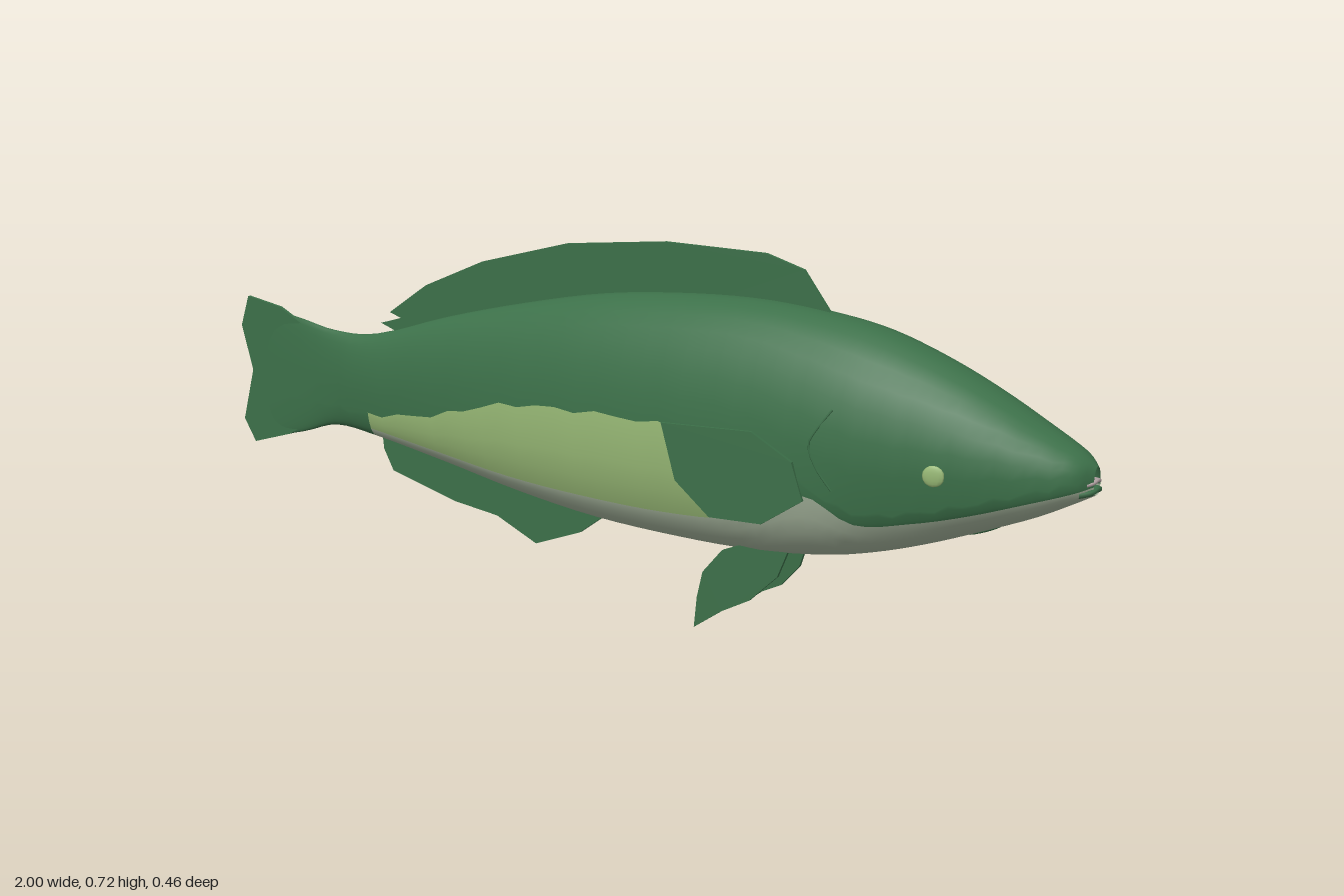
import * as THREE from 'three';

// x, top, bottom, half width, belly line, flank line (tail to snout)
const STATIONS = [
  [-0.95, 0.51, 0.205, 0.003, 0.26, 0.32],
  [-0.82, 0.49, 0.235, 0.01, 0.27, 0.31],
  [-0.72, 0.472, 0.262, 0.02, 0.28, 0.31],
  [-0.6, 0.475, 0.252, 0.04, 0.272, 0.305],
  [-0.4, 0.53, 0.22, 0.07, 0.25, 0.33],
  [-0.2, 0.575, 0.185, 0.1, 0.23, 0.38],
  [0, 0.61, 0.16, 0.125, 0.222, 0.395],
  [0.2, 0.625, 0.15, 0.138, 0.22, 0.395],
  [0.36, 0.625, 0.15, 0.142, 0.235, 0.385],
  [0.5, 0.61, 0.163, 0.143, 0.3, 0.325],
  [0.6, 0.59, 0.183, 0.138, 0.255, 0.28],
  [0.7, 0.555, 0.213, 0.125, 0.268, 0.29],
  [0.8, 0.51, 0.25, 0.11, 0.293, 0.315],
  [0.9, 0.455, 0.29, 0.085, 0.325, 0.345],
  [0.97, 0.415, 0.325, 0.054, 0.347, 0.365],
  [0.998, 0.39, 0.34, 0.016, 0.357, 0.37],
];

// Smooth interpolation between stations, t in station units
function stationAt(t) {
  const i = Math.min(Math.floor(t), STATIONS.length - 2), f = t - i;
  const at = (k) => STATIONS[THREE.MathUtils.clamp(k, 0, STATIONS.length - 1)];
  const [a, b, c, d] = [at(i - 1), at(i), at(i + 1), at(i + 2)];
  return b.map((v, k) => v + 0.5 * f * (c[k] - a[k]
    + f * (2 * a[k] - 5 * v + 4 * c[k] - d[k] + f * (3 * (v - c[k]) + d[k] - a[k]))));
}

// Half width of the cross-section at height y
function widthAt([, top, bot, w], y) {
  const mid = bot + 0.47 * (top - bot);
  const u = y > mid ? (y - mid) / (top - mid) : (mid - y) / (mid - bot);
  const p = y > mid ? 2 : 2.5;
  return w * Math.pow(Math.max(0, 1 - Math.pow(Math.min(u, 1), p)), 1 / p);
}

// Distance of the body's side from the centre at given x and y
function sideZ(x, y) {
  let t = 0;
  while (t < STATIONS.length - 1 && stationAt(t)[0] < x) t += 0.02;
  return widthAt(stationAt(t), y);
}

function bodyGeometry() {
  const STEPS = 4, BELLY = 6, FLANK = 4, BACK = 8, ROWS = BELLY + FLANK + BACK, N = ROWS * 2;
  const cols = (STATIONS.length - 1) * STEPS;
  const pos = [], xs = [], faces = [[], [], []];
  for (let i = 0; i <= cols; i++) {
    const s = stationAt(i / STEPS), [x, top, bot, , low, up0] = s;
    const up = up0 + 0.005 * Math.sin(i * 2.3);
    xs.push(x);
    for (let j = 0; j < N; j++) {
      const r = j <= ROWS ? j : N - j;
      let y;
      if (r <= BELLY) y = bot + (low - bot) * (r / BELLY) ** 2;
      else if (r <= BELLY + FLANK) y = low + (up - low) * (r - BELLY) / FLANK;
      else y = top - (top - up) * ((ROWS - r) / BACK) ** 2;
      pos.push(x, y, widthAt(s, y) * (j <= ROWS ? 1 : -1));
    }
  }
  for (let i = 0; i < cols; i++) {
    const x = (xs[i] + xs[i + 1]) / 2;
    for (let j = 0; j < N; j++) {
      const r = j < ROWS ? j : N - 1 - j;
      let m = 0;
      if (x > -0.6 && r < BELLY) m = 2;
      else if (x > -0.6 && x < 0.36 && r < BELLY + FLANK) m = 1;
      const k = (j + 1) % N, a = i * N, b = a + N;
      faces[m].push(a + j, b + j, b + k, a + j, b + k, a + k);
    }
  }
  const g = new THREE.BufferGeometry();
  g.setAttribute('position', new THREE.Float32BufferAttribute(pos, 3));
  g.setIndex(faces.flat());
  let start = 0;
  faces.forEach((f, m) => { g.addGroup(start, f.length, m); start += f.length; });
  g.computeVertexNormals();
  return g;
}

const outline = (pts) => new THREE.Shape(pts.map((p) => new THREE.Vector2(...p)));

export function createModel() {
  const model = new THREE.Group();
  const mat = (name, color) => {
    const m = new THREE.MeshStandardMaterial({ color, side: THREE.DoubleSide });
    m.name = name;
    return m;
  };
  const green = mat('green', 0x3c7049);
  const lime = mat('light green', 0x97b875);
  const grey = mat('belly grey', 0xa6b59d);
  const pink = mat('lip pink', 0xb3a3a4);
  const add = (name, geo, material) => {
    const mesh = new THREE.Mesh(geo, material);
    mesh.name = name;
    model.add(mesh);
    return mesh;
  };

  add('body', bodyGeometry(), [green, lime, grey]);

  // Fins on the centre line
  const centreFin = (name, pts) => {
    const g = new THREE.ExtrudeGeometry(outline(pts), { depth: 0.008, bevelEnabled: false });
    g.translate(0, 0, -0.004);
    add(name, g, green);
  };
  centreFin('dorsalFin', [[0.49, 0.605], [0.43, 0.685], [0.35, 0.71], [0.13, 0.718], [-0.1, 0.7],
    [-0.31, 0.65], [-0.46, 0.59], [-0.56, 0.525], [-0.53, 0.515], [-0.585, 0.5], [-0.5, 0.47],
    [-0.2, 0.54], [0.2, 0.6]]);
  centreFin('tailFin', [[-0.8, 0.47], [-0.88, 0.51], [-0.975, 0.527], [-0.998, 0.46], [-0.968, 0.36],
    [-1, 0.245], [-0.968, 0.195], [-0.86, 0.225], [-0.8, 0.26]]);
  centreFin('analFin', [[-0.59, 0.27], [-0.585, 0.225], [-0.56, 0.18], [-0.39, 0.135], [-0.28, 0.12],
    [-0.18, 0.075], [-0.07, 0.115], [0, 0.165], [-0.2, 0.21]]);

  // Paired fins swing outward toward the tail
  const pairedFin = (name, pts, z0, x0, slope, side) => {
    const g = new THREE.ExtrudeGeometry(outline(pts), { depth: 0.007, bevelEnabled: false });
    const p = g.attributes.position;
    for (let i = 0; i < p.count; i++) {
      p.setZ(i, side * (z0 + (x0 - p.getX(i)) * slope) + p.getZ(i) - 0.0035);
    }
    g.computeVertexNormals();
    add(name, g, green);
  };
  for (const side of [1, -1]) {
    const label = side > 0 ? 'Near' : 'Far';
    pairedFin('pectoralFin' + label, [[0.265, 0.42], [0.29, 0.315], [0.35, 0.25], [0.44, 0.243],
      [0.51, 0.29], [0.49, 0.36], [0.42, 0.412]], 0.135, 0.52, 0.35, side);
    pairedFin('pelvicFin' + label, [[0.43, 0.165], [0.41, 0.11], [0.36, 0.06], [0.31, 0.035], [0.26, 0],
      [0.265, 0.06], [0.275, 0.11], [0.31, 0.155], [0.35, 0.17]], 0.037, 0.43, 0.34, side);

    const eye = add('eye' + label, new THREE.SphereGeometry(1, 12, 8), lime);
    eye.scale.set(0.02, 0.019, 0.005);
    eye.position.set(0.75, 0.363, side * sideZ(0.75, 0.363));
    eye.rotation.y = side * 0.17;

    // Raised gill cover edge
    const gill = [[0.56, 0.46], [0.535, 0.425], [0.52, 0.395], [0.535, 0.355], [0.565, 0.315]]
      .map(([x, y]) => new THREE.Vector3(x, y, side * (sideZ(x, y) - 0.001)));
    add('gillEdge' + label, new THREE.TubeGeometry(new THREE.CatmullRomCurve3(gill), 12, 0.002, 5), green);
  }

  // Short lip across the snout with the mouth below it
  const arc = (y, w) => new THREE.CatmullRomCurve3([[0.978, -w], [0.995, -w / 2], [0.998, 0], [0.995, w / 2], [0.978, w]]
    .map(([x, z]) => new THREE.Vector3(x, y - Math.abs(z) * 0.2, z)));
  add('lip', new THREE.TubeGeometry(arc(0.366, 0.036), 16, 0.004, 6), pink);
  add('mouth', new THREE.TubeGeometry(arc(0.351, 0.036), 16, 0.006, 6), green);

  // Dark spot under the throat
  const spot = add('throatSpot', new THREE.SphereGeometry(1, 12, 8), green);
  spot.scale.set(0.035, 0.004, 0.015);
  spot.position.set(0.8, 0.25, 0);
  spot.rotation.z = 0.37;

  return model;
}
